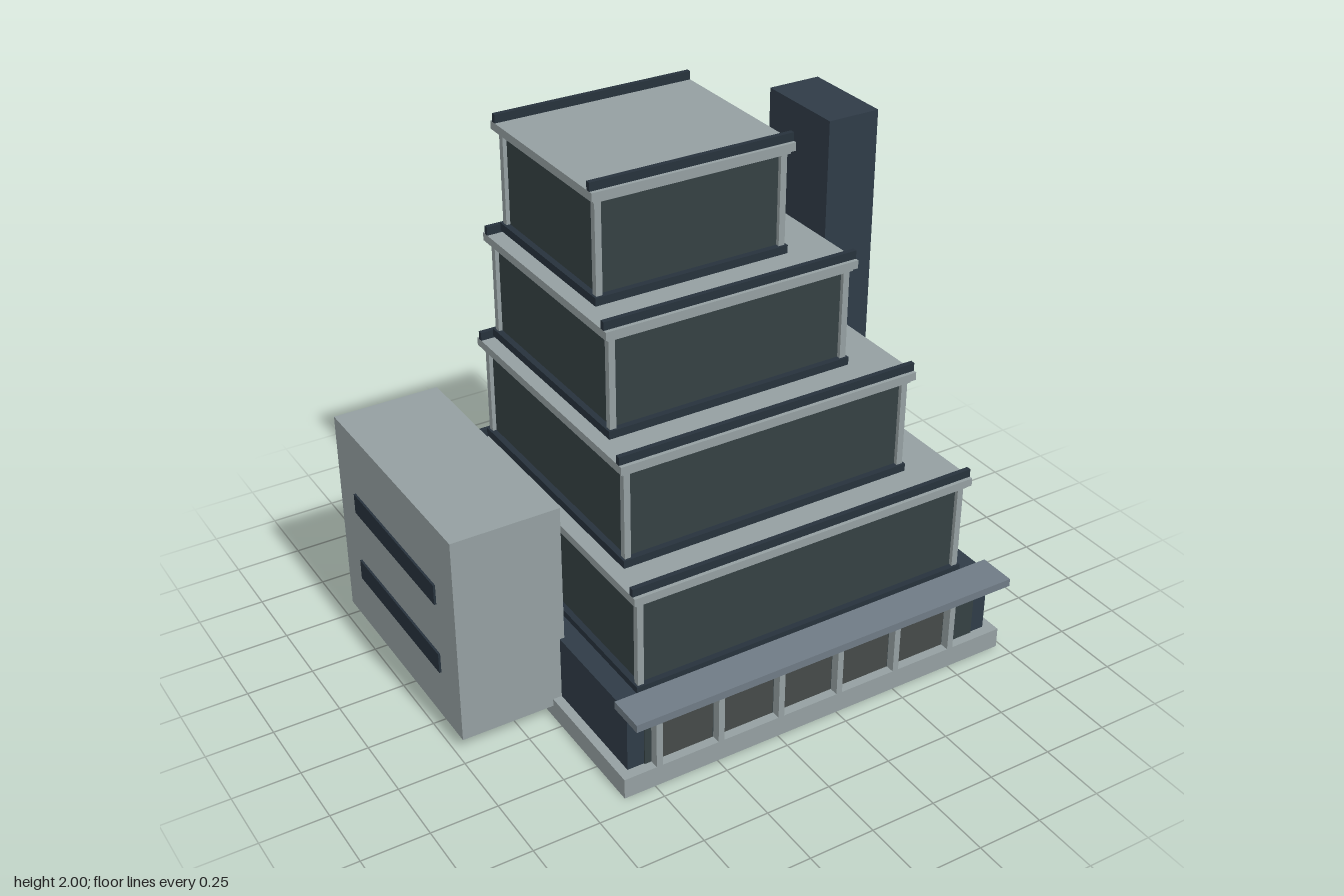
import * as THREE from 'three';

const mat = (color) => new THREE.MeshStandardMaterial({ color });

export function createModel() {
  const building = new THREE.Group();
  building.name = 'steppedBuilding';
  const stone = mat(0x949fa1), navy = mat(0x2f3b47), glass = mat(0x344043);
  const shopGlass = mat(0x454948), dark = mat(0x27323c), slate = mat(0x6f7b85), teal = mat(0x2f6a73);

  // Box given by its limits on each axis
  function box(parent, name, material, [x0, x1], [y0, y1], [z0, z1]) {
    const mesh = new THREE.Mesh(new THREE.BoxGeometry(x1 - x0, y1 - y0, z1 - z0), material);
    mesh.position.set((x0 + x1) / 2, (y0 + y1) / 2, (z0 + z1) / 2);
    mesh.name = name;
    parent.add(mesh);
    return mesh;
  }
  function group(name) {
    const g = new THREE.Group();
    g.name = name;
    building.add(g);
    return g;
  }
  const inset = ([a, b], d) => [a + d, b - d];

  // Plinth and ground floor
  box(building, 'plinth', stone, [-0.62, 0.98], [0, 0.08], [-0.67, 0.69]);
  box(building, 'groundFloor', navy, [-0.585, 0.94], [0.08, 0.33], [-0.63, 0.65]);

  // Shopfronts with columns and canopy, front and back
  for (const side of [1, -1]) {
    const g = group(side > 0 ? 'frontArcade' : 'backArcade');
    const span = (a, b) => (side > 0 ? [a + 0.01, b + 0.01] : [-b + 0.01, -a + 0.01]);
    box(g, 'glazing', glass, [-0.52, 0.88], [0.08, 0.32], span(0.62, 0.645));
    for (let i = 0; i < 6; i++) {
      const x = -0.482 + i * 0.2475;
      box(g, 'column', stone, [x - 0.012, x + 0.012], [0.08, 0.32], span(0.645, 0.68));
      if (i < 5) box(g, 'shopWindow', shopGlass, [x + 0.018, x + 0.23], [0.085, 0.315], span(0.63, 0.65));
    }
    box(g, 'canopy', slate, [-0.605, 0.96], [0.32, 0.35], span(0.595, 0.74));
  }

  // Four stepped storeys, each given by the limits of its roof slab
  const storeys = [
    { x: [-0.52, 0.87], z: [-0.585, 0.6] },
    { x: [-0.48, 0.7], z: [-0.565, 0.455] },
    { x: [-0.445, 0.535], z: [-0.545, 0.31] },
    { x: [-0.405, 0.365], z: [-0.525, 0.165] },
  ];
  storeys.forEach(({ x, z }, i) => {
    const g = group('storey' + (i + 1));
    const top = 0.73 + i * 0.413;
    const floor = top - 0.405;
    const foot = top - 0.375;
    box(g, 'floorLedge', dark, inset(x, 0.012), [floor, foot], inset(z, 0.012));
    box(g, 'glassWalls', glass, inset(x, 0.035), [foot, top - 0.03], inset(z, 0.035));
    const [px, pz] = [inset(x, 0.032), inset(z, 0.032)];
    for (const cx of px) for (const cz of pz) {
      box(g, 'cornerPost', stone, [cx - 0.012, cx + 0.012], [foot, top - 0.03], [cz - 0.012, cz + 0.012]);
    }
    box(g, 'roofTrim', stone, inset(x, 0.012), [top - 0.042, top - 0.03], inset(z, 0.012));
    box(g, 'roofSlab', stone, x, [top - 0.03, top], z);
    for (const rz of inset(z, 0.023)) {
      box(g, 'parapet', dark, x, [top, top + 0.031], [rz - 0.009, rz + 0.009]);
    }
  });

  // Stair tower with its slit window
  const tower = group('stairTower');
  box(tower, 'towerShaft', navy, [0.69, 0.898], [0.33, 1.88], [-0.467, -0.097]);
  box(tower, 'slitWindow', teal, [0.88, 0.904], [0.89, 1.345], [-0.303, -0.254]);

  // Side annex with two long windows
  const annex = group('annex');
  box(annex, 'annexBlock', stone, [-0.975, -0.567], [0.05, 0.87], [-0.755, 0.19]);
  for (const y of [0.25, 0.54]) {
    box(annex, 'annexWindow', dark, [-0.983, -0.96], [y, y + 0.08], [-0.612, 0.047]);
  }
  return building;
}
